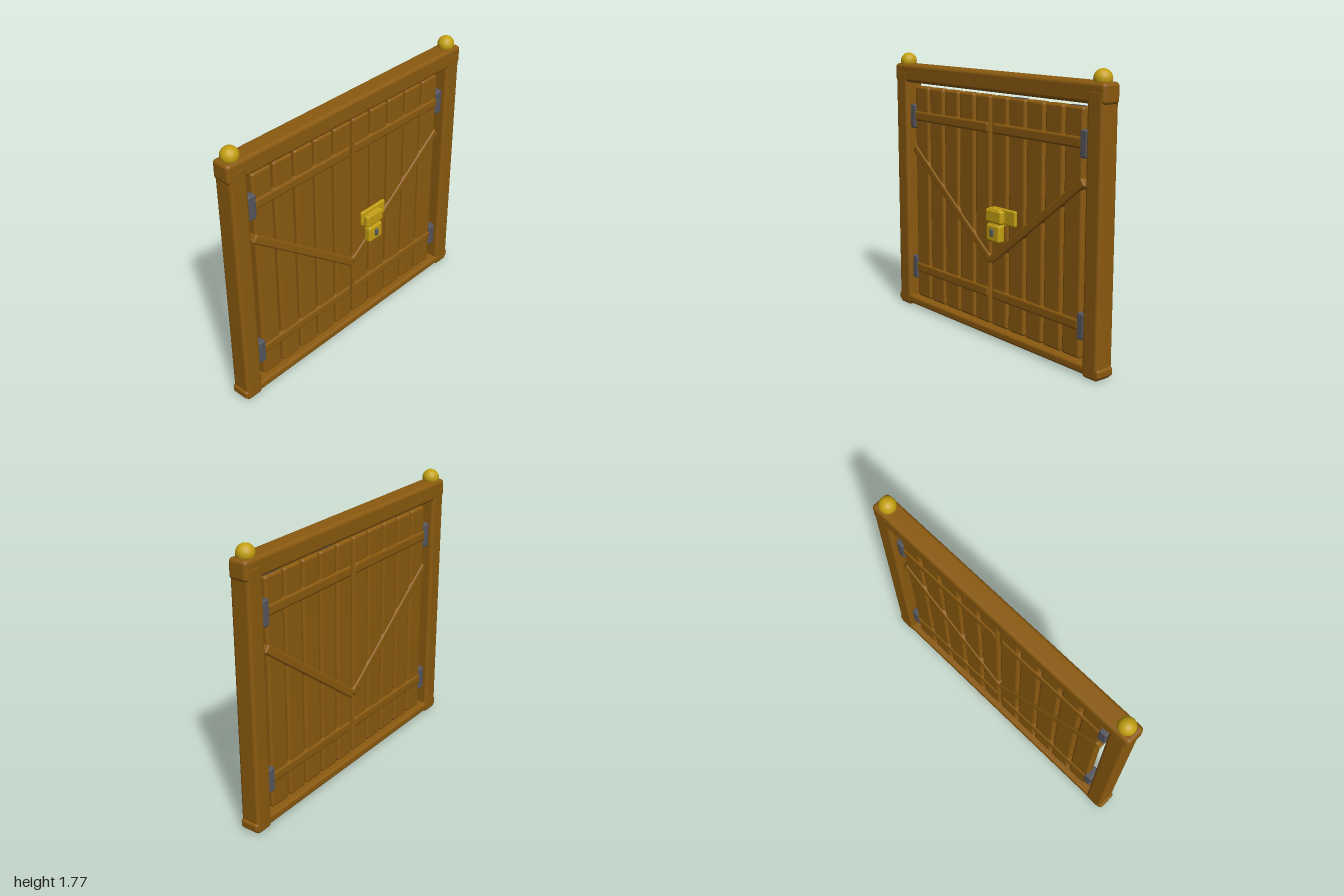
import * as THREE from 'three';
import { RoundedBoxGeometry } from 'three/addons/geometries/RoundedBoxGeometry.js';

export function createModel() {
  const mat = (name, color) => {
    const m = new THREE.MeshStandardMaterial({ color });
    m.name = name;
    return m;
  };
  const wood = mat('wood', 0x8b5a0f);
  const brass = mat('brass', 0xc4a012);
  const iron = mat('iron', 0x56565e);

  const gate = new THREE.Group();
  gate.name = 'gate';
  const ZC = -0.035; // middle plane of the frame

  function add(name, geometry, material, x, y, z, parent = gate) {
    const mesh = new THREE.Mesh(geometry, material);
    mesh.name = name;
    mesh.position.set(x, y, z);
    parent.add(mesh);
    return mesh;
  }
  // Rounded block given by its size and centre
  function block(name, material, [w, h, d], [x, y, z], r, parent) {
    return add(name, new RoundedBoxGeometry(w, h, d, 3, r), material, x, y, z, parent);
  }

  // Outer frame
  block('topRail', wood, [2, 0.123, 0.128], [0, 1.639, ZC], 0.024);
  block('bottomRail', wood, [2, 0.058, 0.128], [0, 0.044, ZC], 0.018);
  for (const s of [-1, 1]) {
    block('post', wood, [0.122, 1.66, 0.132], [s * 0.927, 0.83, ZC], 0.022);
    add('finial', new THREE.SphereGeometry(0.054, 24, 16), brass, s * 0.925, 1.718, ZC);
  }

  // Upright planks, two of them with iron end caps
  for (let i = 0; i < 10; i++) {
    const x = (i - 4.5) * 0.1635;
    block('plank', wood, [0.15, 1.475, 0.066], [x, 0.8175, ZC], 0.018);
    if (i === 6 || i === 9) add('plankCap', new THREE.BoxGeometry(0.125, 0.004, 0.03), iron, x, 1.555, ZC);
  }

  // Each leaf: cross rails, diagonal brace and hinges
  for (const s of [-1, 1]) {
    for (const [railY, hingeY] of [[1.354, 1.35], [0.291, 0.288]]) {
      block('crossRail', wood, [0.79, 0.072, 0.084], [s * 0.415, railY, ZC], 0.018);
      block('hinge', iron, [0.056, 0.162, 0.09], [s * 0.826, hingeY, ZC], 0.012);
    }
    const dx = 0.825, dy = 0.63;
    const brace = block('brace', wood, [Math.hypot(dx, dy), 0.058, 0.084], [s * dx / 2, 0.505 + dy / 2, ZC], 0.014);
    brace.rotation.z = s * Math.atan2(dy, dx);
  }

  // Lock on the front of the left leaf
  const lock = new THREE.Group();
  lock.name = 'lock';
  gate.add(lock);
  block('haspPlate', brass, [0.22, 0.1, 0.024], [0.165, 0.823, 0.02], 0.011, lock);
  block('lockMount', brass, [0.1, 0.08, 0.05], [0.125, 0.8, 0.025], 0.01, lock);
  block('lockBody', brass, [0.125, 0.112, 0.054], [0.126, 0.72, 0.062], 0.016, lock);
  block('bodyBand', brass, [0.085, 0.126, 0.034], [0.126, 0.722, 0.062], 0.01, lock);
  block('haspHead', brass, [0.15, 0.086, 0.044], [0.125, 0.825, 0.062], 0.015, lock);
  block('haspBand', brass, [0.11, 0.1, 0.03], [0.125, 0.826, 0.062], 0.01, lock);
  block('keyhole', iron, [0.026, 0.05, 0.03], [0.126, 0.725, 0.087], 0.008, lock);

  return gate;
}
